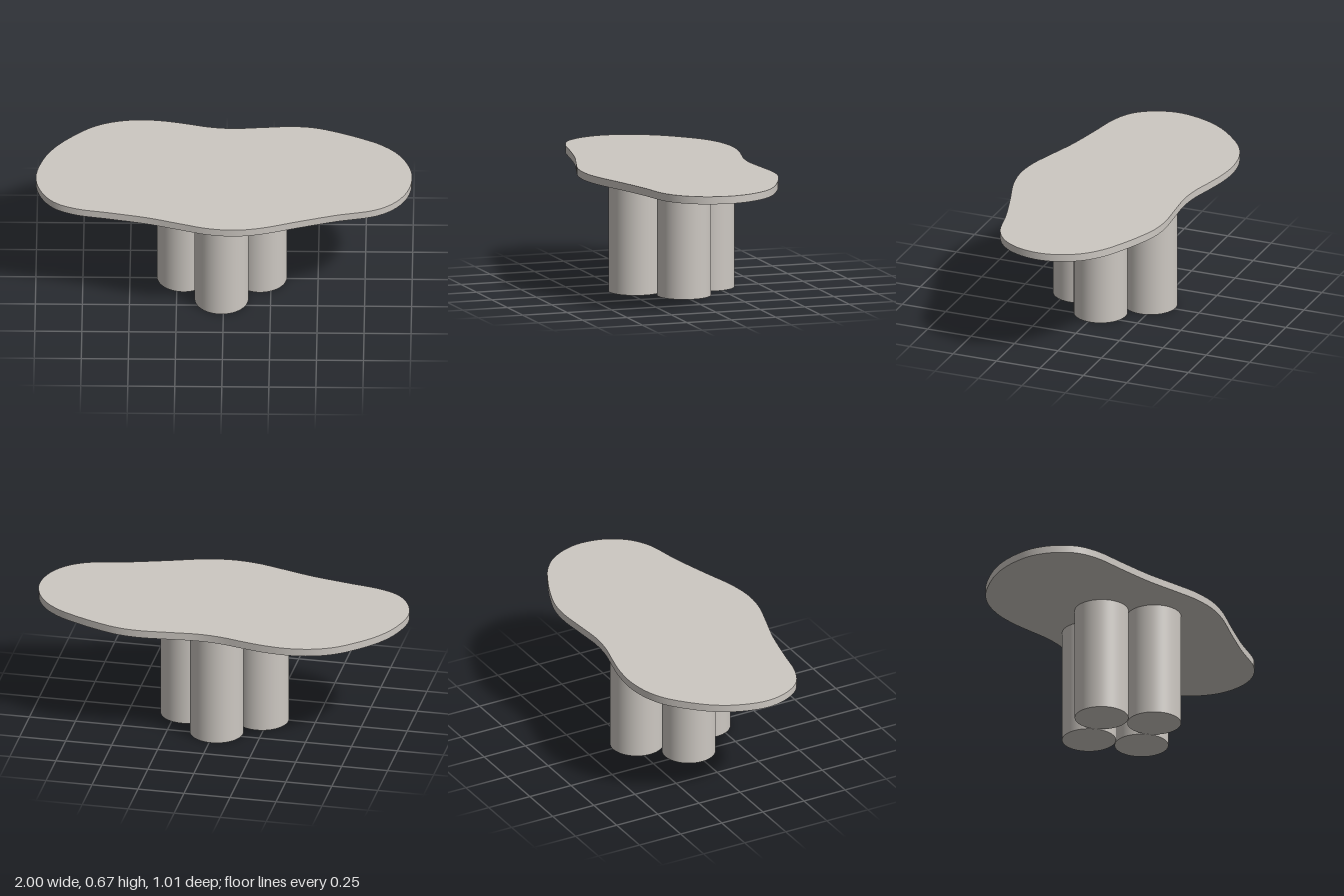
import * as THREE from 'three';
import { toCreasedNormals } from 'three/addons/utils/BufferGeometryUtils.js';

const HEIGHT = 0.668;
const THICKNESS = 0.041;
const LEG_RADIUS = 0.143;

// Outline of the organic top as [x, z], walked around the edge
const OUTLINE = [
  [-1, 0.03], [-0.965, -0.13], [-0.9, -0.25], [-0.8, -0.36], [-0.7, -0.44], [-0.59, -0.487],
  [-0.455, -0.507], [-0.32, -0.497], [-0.2, -0.472], [-0.08, -0.444], [0.04, -0.433],
  [0.2, -0.444], [0.36, -0.455], [0.48, -0.443], [0.6, -0.404], [0.72, -0.352],
  [0.83, -0.292], [0.92, -0.21], [0.98, -0.1], [1, 0.01], [0.975, 0.14], [0.91, 0.24],
  [0.81, 0.308], [0.6, 0.36], [0.4, 0.42], [0.2, 0.483], [0.06, 0.503], [-0.08, 0.49],
  [-0.22, 0.45], [-0.4, 0.395], [-0.6, 0.352], [-0.79, 0.313], [-0.9, 0.257], [-0.97, 0.16],
];

export function createModel() {
  const table = new THREE.Group();
  table.name = 'table';
  const stone = new THREE.MeshStandardMaterial({ color: 0xcdc8c2 });
  stone.name = 'warm grey';

  // Table top: smooth closed curve, extruded and laid flat
  const curve = new THREE.CatmullRomCurve3(
    OUTLINE.map(([x, z]) => new THREE.Vector3(x, -z, 0)), true, 'centripetal');
  const edge = curve.getSpacedPoints(180).slice(0, -1);
  const shape = new THREE.Shape(edge.map((p) => new THREE.Vector2(p.x, p.y)));
  const slab = new THREE.ExtrudeGeometry(shape, { depth: THICKNESS, bevelEnabled: false });
  slab.rotateX(-Math.PI / 2);
  const top = new THREE.Mesh(toCreasedNormals(slab, 0.6), stone);
  top.name = 'tableTop';
  top.position.y = HEIGHT - THICKNESS;
  table.add(top);

  // Base: four touching round columns in a diamond
  const base = new THREE.Group();
  base.name = 'base';
  base.position.set(-0.011, 0, -0.014);
  const legHeight = HEIGHT - THICKNESS;
  const legGeometry = new THREE.CylinderGeometry(LEG_RADIUS, LEG_RADIUS, legHeight, 64);
  const spread = LEG_RADIUS * Math.SQRT2 + 0.001;
  ['frontLeg', 'leftLeg', 'backLeg', 'rightLeg'].forEach((name, i) => {
    const angle = (i * Math.PI) / 2;
    const leg = new THREE.Mesh(legGeometry, stone);
    leg.name = name;
    leg.position.set(Math.sin(angle) * spread, legHeight / 2, Math.cos(angle) * spread);
    base.add(leg);
  });
  table.add(base);
  return table;
}
